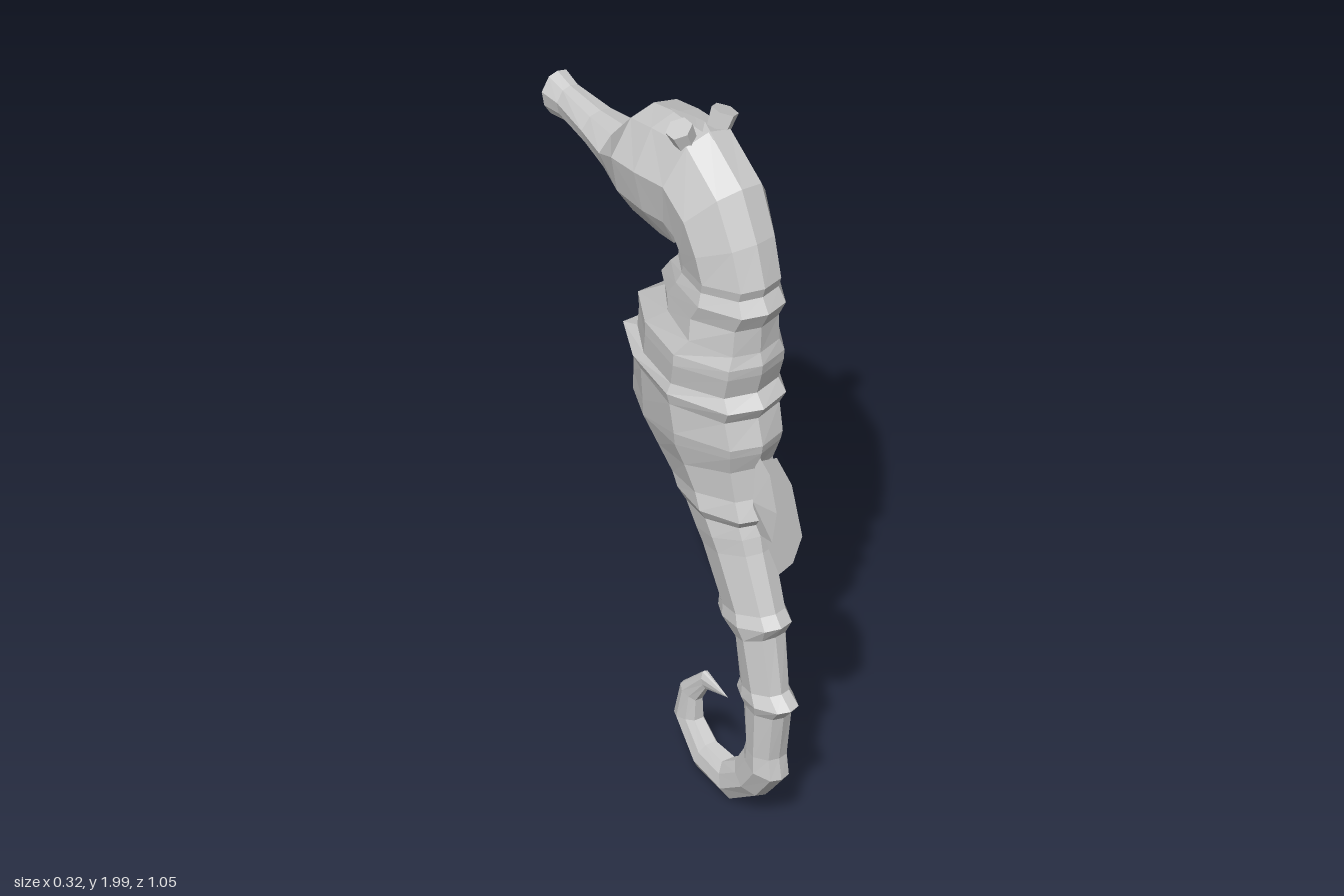
import * as THREE from 'three';

const skin = new THREE.MeshStandardMaterial({ color: 0xcccccc });
skin.name = 'pale grey skin';
const finSkin = new THREE.MeshStandardMaterial({ color: 0xcccccc, side: THREE.DoubleSide });
finSkin.name = 'pale grey fin';

// Half cross-section: [fraction from back to belly, fraction of half width]
const HALF = [[0, 0], [0.06, 0.55], [0.38, 1], [0.74, 0.84], [1, 0.45]];
const SECTION = [...HALF, ...HALF.slice(1).reverse().map(([t, s]) => [t, -s])];

function facet(positions, indices) {
  const g = new THREE.BufferGeometry();
  g.setAttribute('position', new THREE.Float32BufferAttribute(positions, 3));
  g.setIndex(indices);
  const flat = g.toNonIndexed();
  flat.computeVertexNormals();
  return flat;
}

// Loft through rings of [back z, back y, belly z, belly y, half width]
function loft(name, rings) {
  const n = SECTION.length, pos = [], idx = [];
  for (const [bz, by, fz, fy, w] of rings)
    for (const [t, s] of SECTION) pos.push(s * w, by + (fy - by) * t, bz + (fz - bz) * t);
  for (let k = 0; k < rings.length - 1; k++)
    for (let i = 0; i < n; i++) {
      const a = k * n + i, b = k * n + (i + 1) % n;
      idx.push(a, a + n, b, b, a + n, b + n);
    }
  const mesh = new THREE.Mesh(facet(pos, idx), skin);
  mesh.name = name;
  return mesh;
}

const NECK = [0.37, 1.625, 0.07, 1.6, 0.112];
const WAIST = [0.35, 0.86, 0.11, 0.8, 0.083];

// Snout opening, snout, skull, then the bend into the neck
const HEAD = [
  [-0.47, 1.71, -0.47, 1.71, 0],
  [-0.48, 1.73, -0.48, 1.69, 0.018],
  [-0.52, 1.745, -0.52, 1.675, 0.026],
  [-0.525, 1.77, -0.525, 1.65, 0.048],
  [-0.47, 1.757, -0.47, 1.66, 0.041],
  [-0.34, 1.757, -0.34, 1.655, 0.058],
  [-0.23, 1.772, -0.23, 1.645, 0.082],
  [-0.11, 1.915, -0.12, 1.605, 0.127],
  [-0.02, 1.94, 0, 1.603, 0.13],
  [0.13, 1.965, 0.055, 1.605, 0.122],
  [0.27, 1.87, 0.07, 1.62, 0.124],
  [0.335, 1.74, 0.075, 1.61, 0.118],
  NECK,
];

// Armoured trunk with raised rings
const TRUNK = [
  NECK,
  [0.36, 1.595, 0.065, 1.575, 0.11],
  [0.385, 1.555, 0.04, 1.545, 0.122],
  [0.355, 1.5, 0, 1.49, 0.122],
  [0.35, 1.42, 0.02, 1.46, 0.13],
  [0.36, 1.385, -0.08, 1.385, 0.154],
  [0.355, 1.355, -0.075, 1.345, 0.155],
  [0.335, 1.29, -0.085, 1.28, 0.15],
  [0.365, 1.255, -0.14, 1.26, 0.161],
  [0.34, 1.215, -0.1, 1.235, 0.152],
  [0.36, 1.14, -0.105, 1.13, 0.146],
  [0.355, 1.115, -0.11, 1.07, 0.14],
  [0.335, 1.06, -0.05, 0.99, 0.118],
  [0.34, 0.97, 0.005, 0.935, 0.102],
  [0.36, 0.915, 0.03, 0.91, 0.104],
  [0.34, 0.89, 0.06, 0.87, 0.086],
  WAIST,
];

// Ringed tail curling forward to a point
const TAIL = [
  WAIST,
  [0.36, 0.815, 0.135, 0.765, 0.077],
  [0.415, 0.66, 0.215, 0.62, 0.068],
  [0.44, 0.63, 0.215, 0.59, 0.075],
  [0.415, 0.59, 0.285, 0.55, 0.064],
  [0.44, 0.43, 0.295, 0.41, 0.053],
  [0.48, 0.4, 0.285, 0.38, 0.059],
  [0.45, 0.365, 0.31, 0.36, 0.052],
  [0.43, 0.23, 0.32, 0.23, 0.05],
  [0.44, 0.17, 0.31, 0.2, 0.051],
  [0.37, 0.085, 0.27, 0.14, 0.047],
  [0.25, 0.005, 0.21, 0.1, 0.042],
  [0.1, 0.02, 0.135, 0.105, 0.036],
  [-0.005, 0.13, 0.085, 0.15, 0.03],
  [0.02, 0.23, 0.085, 0.21, 0.024],
  [0.11, 0.312, 0.12, 0.265, 0.014],
  [0.21, 0.287, 0.21, 0.287, 0],
];

// Flaring horn nub pointing up and outward
function horn(side) {
  const mesh = new THREE.Mesh(
    new THREE.CylinderGeometry(0.036, 0.024, 0.12, 6).toNonIndexed(), skin);
  mesh.geometry.computeVertexNormals();
  mesh.position.set(side * 0.047, 1.93, 0.098);
  mesh.rotation.z = -side * 0.4;
  mesh.name = side > 0 ? 'leftHorn' : 'rightHorn';
  return mesh;
}

// Closed ridge: outline [z, y] pinched to the centre, with a bulge on each side
function ridge(name, outline, bulge, width) {
  const n = outline.length, pos = [], idx = [];
  for (const [z, y] of outline) pos.push(0, y, z);
  for (const s of [1, -1]) pos.push(s * width, bulge[1], bulge[0]);
  for (let i = 0; i < n; i++) {
    const j = (i + 1) % n;
    idx.push(i, j, n, j, i, n + 1);
  }
  const mesh = new THREE.Mesh(facet(pos, idx), finSkin);
  mesh.name = name;
  return mesh;
}

export function createModel() {
  const group = new THREE.Group();
  group.name = 'seahorse';
  group.add(loft('head', HEAD), loft('trunk', TRUNK), loft('tail', TAIL));
  group.add(horn(1), horn(-1));
  group.add(ridge('crest',
    [[-0.04, 1.94], [0.07, 1.975], [0.11, 1.985], [0.15, 1.955], [0.12, 1.9]], [0.12, 1.92], 0.025));

  // Dorsal fin: thin web standing on a low wedge
  group.add(ridge('dorsalFinRoot',
    [[0.33, 1.11], [0.39, 1.07], [0.42, 0.97], [0.4, 0.87], [0.33, 0.86]], [0.345, 0.97], 0.02));
  const web = new THREE.Shape([
    [0.34, 1.08], [0.365, 1.1], [0.42, 1.14], [0.485, 1.095], [0.53, 0.965],
    [0.49, 0.86], [0.43, 0.79], [0.365, 0.865], [0.34, 0.88],
  ].map(([z, y]) => new THREE.Vector2(-z, y)));
  const fin = new THREE.Mesh(new THREE.ShapeGeometry(web), finSkin);
  fin.rotation.y = Math.PI / 2;
  fin.name = 'dorsalFin';
  group.add(fin);
  return group;
}
